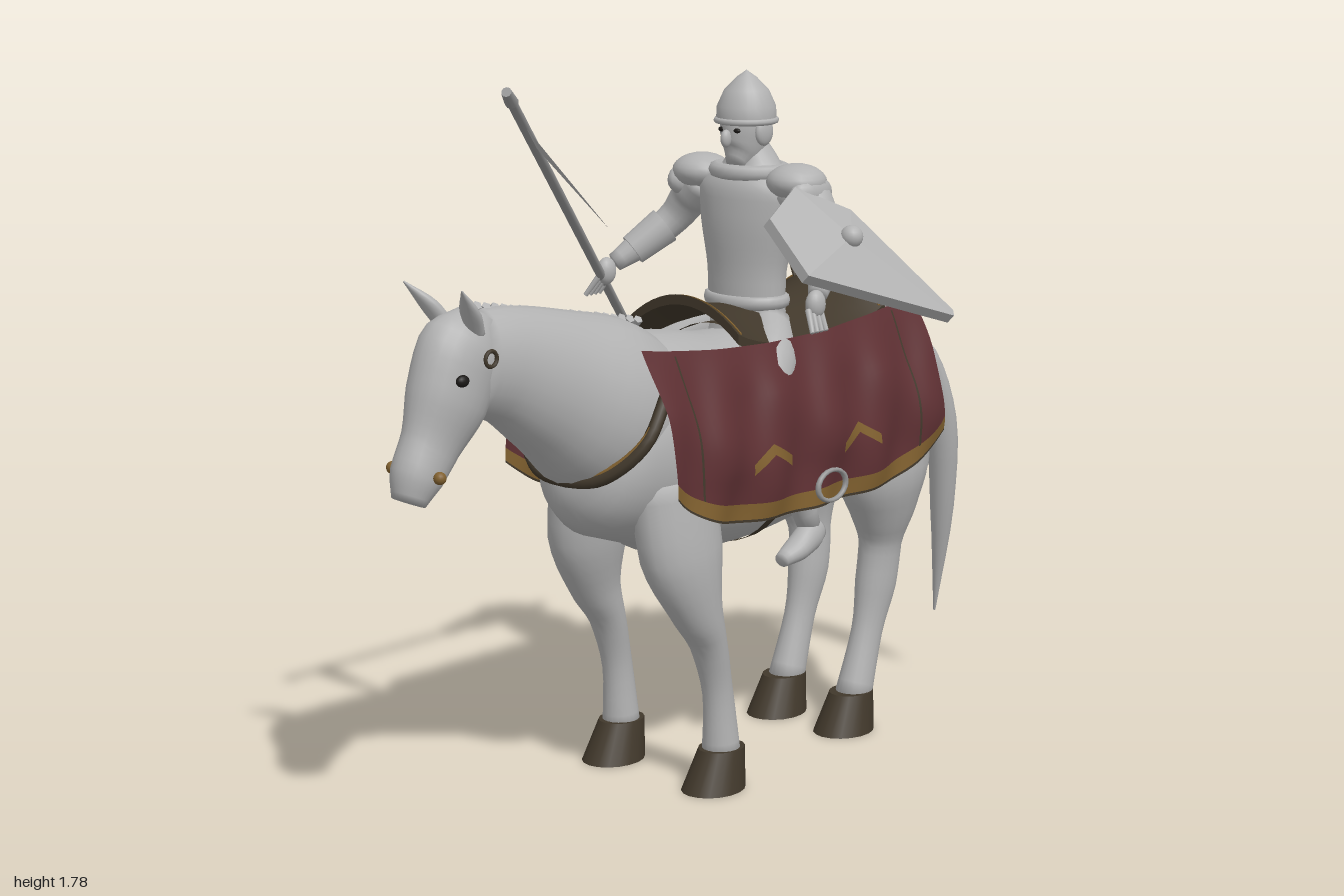
import * as THREE from 'three';

const mat = (name, color, side = THREE.FrontSide) => {
  const m = new THREE.MeshStandardMaterial({ color, side });
  m.name = name;
  return m;
};
const V = (x, y, z) => new THREE.Vector3(x, y, z);
const CX = 0.06; // horse centre line

// Smooth closed skin through sections [x, y, z, halfWidth, halfDepth]
function loft(sections, ref = V(1, 0, 0), seg = 20, sub = 4) {
  const path = new THREE.CatmullRomCurve3(sections.map(s => V(s[0], s[1], s[2])));
  const size = new THREE.CatmullRomCurve3(sections.map(s => V(s[3], s[4], 0)));
  const n = (sections.length - 1) * sub, pos = [], idx = [];
  for (let i = 0; i <= n; i++) {
    const p = path.getPoint(i / n), t = path.getTangent(i / n), r = size.getPoint(i / n);
    const s = ref.clone().addScaledVector(t, -ref.dot(t)).normalize();
    const q = t.clone().cross(s);
    for (let j = 0; j < seg; j++) {
      const a = j / seg * Math.PI * 2;
      const v = p.clone().addScaledVector(s, r.x * Math.cos(a)).addScaledVector(q, r.y * Math.sin(a));
      pos.push(v.x, v.y, v.z);
    }
  }
  for (let i = 0; i < n; i++) for (let j = 0; j < seg; j++) {
    const a = i * seg + j, b = i * seg + (j + 1) % seg;
    idx.push(a, b, a + seg, b, b + seg, a + seg);
  }
  const c = (n + 1) * seg;
  for (const s of [sections[0], sections[sections.length - 1]]) pos.push(s[0], s[1], s[2]);
  for (let j = 0; j < seg; j++) {
    const k = (j + 1) % seg;
    idx.push(c, k, j, c + 1, n * seg + j, n * seg + k);
  }
  const g = new THREE.BufferGeometry();
  g.setAttribute('position', new THREE.Float32BufferAttribute(pos, 3));
  g.setIndex(idx);
  g.computeVertexNormals();
  return g;
}

// Move every vertex by a rule
function warp(g, rule) {
  const p = g.attributes.position, v = V(0, 0, 0);
  for (let i = 0; i < p.count; i++) {
    rule(v.fromBufferAttribute(p, i));
    p.setXYZ(i, v.x, v.y, v.z);
  }
  g.computeVertexNormals();
  return g;
}

function rod(a, b, r0, r1 = r0, seg = 10) {
  const d = b.clone().sub(a), g = new THREE.CylinderGeometry(r1, r0, d.length(), seg);
  g.applyQuaternion(new THREE.Quaternion().setFromUnitVectors(V(0, 1, 0), d.clone().normalize()));
  return g.translate((a.x + b.x) / 2, (a.y + b.y) / 2, (a.z + b.z) / 2);
}
const ball = (x, y, z, a, b = a, c = a) =>
  new THREE.SphereGeometry(1, 18, 12).scale(a, b, c).translate(x, y, z);
const tube = (pts, r) => new THREE.TubeGeometry(new THREE.CatmullRomCurve3(pts), 32, r, 8);

export function createModel() {
  const root = new THREE.Group();
  const grey = mat('pale grey', 0xb2b2b2), greyThin = mat('pale grey sheet', 0xb2b2b2, THREE.DoubleSide);
  const steel = mat('steel grey', 0x969696);
  const cloth = mat('maroon cloth', 0x5e3033, THREE.DoubleSide), gold = mat('old gold', 0x80602f, THREE.DoubleSide);
  const dark = mat('dark leather', 0x41382b, THREE.DoubleSide), black = mat('eye black', 0x1c1a18);
  const add = (name, g, m, x = 0) => {
    const mesh = new THREE.Mesh(g, m);
    mesh.name = name;
    mesh.position.x = x;
    root.add(mesh);
    return mesh;
  };

  // Horse trunk, neck and head
  add('horseBody', loft([[0, .88, .43, .08, .07], [0, .86, .37, .17, .19], [0, .87, .2, .225, .27], [0, .84, 0, .24, .27],
    [0, .85, -.25, .245, .255], [0, .915, -.45, .24, .235], [0, .93, -.62, .225, .21], [0, .91, -.75, .17, .16],
    [0, .92, -.82, .06, .07]], undefined, 32), grey, CX);
  add('horseNeck', loft([[0, .88, .17, .19, .2], [0, .98, .34, .185, .215], [0, 1.065, .505, .135, .175],
    [0, 1.125, .645, .1, .14], [0, 1.15, .77, .08, .12]], undefined, 24), grey, CX);
  add('horseHead', loft([[0, 1.25, .73, .045, .05], [0, 1.17, .79, .085, .115], [0, 1.07, .835, .082, .108],
    [0, .98, .885, .06, .08], [0, .91, .93, .058, .066], [0, .855, .955, .04, .04]], undefined, 24), grey, CX);
  // Mane tufts lying on the right of the crest
  for (let i = 0; i < 20; i++) {
    const z = .2 + i * .028, y = 1.155 + (z - .2) * .2;
    add('maneTuft', rod(V(0, y + .015, z), V(-.055 - .02 * (i % 3), y - .05, z - .012), .012, .002, 5), grey, CX);
  }
  // Tail blade
  add('tail', loft([[0, 1.02, -.8, .03, .02], [.035, .93, -.86, .05, .03], [.06, .75, -.915, .045, .04],
    [.04, .5, -.955, .032, .032], [-.01, .19, -.995, .003, .003]]), grey, CX);

  for (const s of [-1, 1]) {
    // Legs and hooves
    add('foreLeg', loft([[s * .13, .8, .22, .08, .13], [s * .155, .62, .215, .08, .12], [s * .17, .48, .18, .062, .072],
      [s * .17, .38, .135, .05, .044], [s * .17, .25, .1, .037, .04], [s * .17, .08, .085, .048, .05]]), grey, CX);
    add('hindLeg', loft([[s * .13, .9, -.6, .08, .16], [s * .135, .7, -.575, .1, .15], [s * .13, .58, -.585, .078, .1],
      [s * .12, .485, -.59, .052, .062], [s * .115, .38, -.58, .05, .06], [s * .115, .25, -.545, .038, .045],
      [s * .115, .08, -.49, .048, .05]]), grey, CX);
    for (const [x, z] of [[.17, .1], [.115, -.47]]) {
      const hoof = new THREE.CylinderGeometry(.053, .073, .1, 18, 1).toNonIndexed();
      add('hoof', hoof.scale(1, 1, 1.2).applyMatrix4(new THREE.Matrix4().set(
        1, 0, 0, s * x, 0, 1, 0, .055, 0, -.3, 1, z, 0, 0, 0, 1)), dark, CX);
    }
    // Ears, eyes, bridle pieces
    add('ear', loft([[s * .045, 1.22, .78, .022, .02], [s * .065, 1.275, .815, .028, .018], [s * .095, 1.338, .87, .002, .002]],
      undefined, 12), grey, CX);
    add('eye', ball(s * .077, 1.13, .855, .012, .014, .018), black, CX);
    add('bridleLoop', new THREE.TorusGeometry(.018, .005, 6, 16).rotateY(Math.PI / 2).translate(s * .087, 1.17, .775), dark, CX);
    add('bitKnob', ball(s * .078, .92, .93, .015), gold, CX);

    // Hanging cloth: x offset from height, with folds
    const surf = (z, y) => {
      const t = (1.14 - y) / .45;
      return .17 + .115 * Math.sin(Math.min(1, t * 1.4) * Math.PI / 2) - .02 * Math.max(0, t - .7)
        + Math.min(1, t * 3) * (.008 * Math.sin(z * 32 + y * 9) + .005 * Math.sin(z * 17 - y * 23));
    };
    const q = z => (z + .135) / .505;
    const top = z => 1.1 + .04 * q(z) ** 2, low = z => .69 + .11 * q(z) ** 4;
    const patch = (name, m, zOf, yOf, lift, nu, nv) =>
      add(name, warp(new THREE.PlaneGeometry(1, 1, nu, nv), p => {
        const u = p.x + .5, v = p.y + .5, z = zOf(u), y = yOf(z, v, u);
        p.set(s * (surf(z, y) + lift), y, z);
      }), m, CX);
    const full = u => .37 - 1.01 * u;
    const drop = (a, b) => (z, v) => THREE.MathUtils.lerp(low(z), top(z), a + (b - a) * v);
    patch('sideCloth', cloth, full, drop(.11, 1), 0, 56, 20);
    patch('clothBorder', gold, full, drop(.015, .11), 0, 56, 2);
    patch('clothHem', dark, full, drop(0, .015), 0, 56, 1);
    for (const z0 of [.27, -.54]) patch('clothSeam', dark, u => z0 + .006 * u, drop(.11, .97), .004, 1, 20);
    for (const z0 of [.03, -.3])
      patch('chevron', gold, u => z0 + (u - .5) * .14, (z, v, u) => .812 + .04 * (1 - Math.abs(2 * u - 1)) + v * .026, .006, 12, 2);
    add('clothRing', new THREE.TorusGeometry(.048, .007, 8, 20).scale(1.1, .8, 1).rotateY(Math.PI / 2)
      .translate(s * (surf(-.18, .74) + .012), .74, -.18), steel, CX);

    // Saddle cords
    add('saddleCord', tube([V(s * .1, 1.17, -.5), V(s * .13, 1.22, -.5), V(s * .17, 1.21, -.49), V(s * .2, 1.17, -.47)], .005), dark, CX);

    // Rider leg and foot
    add('riderLeg', loft([[s * .07, 1.1, -.2, .06, .07], [s * .17, 1.04, -.1, .055, .065], [s * .205, .93, -.03, .045, .05],
      [s * .21, .78, -.12, .04, .045], [s * .205, .62, -.2, .028, .03]]), grey, CX);
    add('riderFoot', loft([[s * .205, .6, -.24, .02, .025], [s * .21, .595, -.2, .032, .04], [s * .215, .57, -.14, .034, .03],
      [s * .22, .555, -.08, .02, .018]]), grey, CX);

    // Rider shoulder guard, arm, gauntlet and hand
    add('shoulderGuard', ball(s * .155, 1.475, -.2, .075, .045, .075).translate(0, 0, 0), grey, CX);
    add('shoulderRim', ball(s * .2, 1.45, -.2, .035, .045, .07), grey, CX);
    add('arm', loft([[s * .14, 1.46, -.2, .05, .05], [s * .21, 1.4, -.215, .05, .05], [s * .25, 1.345, -.2, .042, .042],
      [s * .3, 1.28, -.13, .036, .036], [s * .335, 1.235, -.07, .024, .024]], V(0, 0, 1), 16), grey, CX);
    add('gauntletCuff', rod(V(s * .265, 1.325, -.18), V(s * .31, 1.265, -.11), .048, .04, 16), grey, CX);
    add('hand', ball(s * .345, 1.215, -.05, .022, .035, .028), grey, CX);
    for (let k = 0; k < 4; k++)
      add('finger', rod(V(s * .345, 1.205, -.065 + k * .014), V(s * .375, 1.155, -.055 + k * .017), .008, .006, 6), grey, CX);
  }

  // Saddle with raised ends and gold stitching
  const saddleRule = p => {
    p.y += 1.15 + .045 * Math.min(1, Math.abs(p.z / .28)) ** 3 - .075 * (p.x / .18) ** 2;
    p.z -= .24;
  };
  add('saddle', warp(new THREE.BoxGeometry(.36, .025, .56, 14, 1, 16), saddleRule), dark, CX);
  for (const z of [-.265, .265])
    add('saddleStitch', warp(new THREE.BoxGeometry(.35, .004, .008, 14, 1, 1).translate(0, .014, z), saddleRule), gold, CX);
  add('girthStrap', new THREE.CylinderGeometry(1, 1, .035, 40, 1, true).rotateX(Math.PI / 2).scale(.248, .277, 1)
    .translate(0, .845, -.09), dark, CX);
  // Breast collar
  const collar = (dy, r, m, name) => add(name, tube([[-.2, 1.04, .31], [-.195, .92, .385], [-.11, .835, .445], [0, .82, .465],
    [.11, .835, .445], [.195, .92, .385], [.2, 1.04, .31]].map(p => V(p[0], p[1] + dy, p[2])), r), m, CX);
  collar(0, .016, dark, 'breastCollar');
  collar(.014, .008, gold, 'breastCollarTrim');

  // Rider trunk, head and helmet
  add('riderTorso', loft([[0, 1.07, -.2, .125, .1], [0, 1.15, -.195, .108, .078], [0, 1.24, -.195, .11, .08],
    [0, 1.36, -.2, .135, .092], [0, 1.44, -.205, .145, .092], [0, 1.5, -.21, .085, .065], [0, 1.56, -.2, .042, .045]],
    undefined, 24), grey, CX);
  add('belt', new THREE.TorusGeometry(.108, .012, 8, 28).rotateX(Math.PI / 2).scale(1, 1.4, .75).translate(0, 1.17, -.195), grey, CX);
  add('neckGuard', new THREE.TorusGeometry(.08, .02, 8, 24).rotateX(Math.PI / 2).scale(1.1, 1, .95).translate(0, 1.49, -.205), grey, CX);
  add('riderHead', loft([[0, 1.505, -.15, .025, .025], [0, 1.54, -.175, .048, .058], [0, 1.6, -.19, .06, .07],
    [0, 1.66, -.19, .055, .065]]), grey, CX);
  add('nose', ball(0, 1.575, -.115, .012, .022, .016), grey, CX);
  for (const s of [-1, 1]) {
    add('riderEye', ball(s * .025, 1.595, -.127, .01, .006, .006), black, CX);
    add('cheekGuard', ball(s * .058, 1.59, -.19, .014, .035, .03), grey, CX);
  }
  const profile = [[.07, 1.61], [.075, 1.615], [.073, 1.65], [.055, 1.69], [.025, 1.72], [.008, 1.732], [0, 1.738]];
  add('helmet', new THREE.LatheGeometry(profile.map(p => new THREE.Vector2(...p)), 24).translate(0, 0, -.19), greyThin, CX);
  add('helmetRim', new THREE.TorusGeometry(.073, .008, 8, 24).rotateX(Math.PI / 2).translate(0, 1.615, -.19), grey, CX);

  // Lance with pennant
  const a = V(-.58, .84, -.53), b = V(.17, 1.77, .74), at = t => a.clone().lerp(b, t);
  add('lanceShaft', rod(a, b, .012), steel);
  add('lanceButt', rod(a, at(.03), .015), steel);
  add('lanceTip', rod(at(.97), b, .016, .012), steel);
  const flag = new THREE.BufferGeometry().setFromPoints([at(.905), at(.84), V(.32, 1.46, .57)]);
  flag.setIndex([0, 1, 2]);
  flag.computeVertexNormals();
  add('pennant', flag, greyThin);

  // Kite shield: raised facets meeting at the boss, with a rim and a back plate
  const rim = [[.27, 1.475, -.13], [.32, 1.42, .02], [.45, 1.3, .03], [.575, 1.165, -.37], [.56, 1.175, -.385],
    [.33, 1.41, -.27]].map(p => V(...p));
  const back = rim.map(p => p.clone().add(V(-.02, -.02, 0)));
  const peak = V(.415, 1.365, -.17), hollow = V(.39, 1.335, -.17), tri = [];
  rim.forEach((p, i) => {
    const k = (i + 1) % rim.length;
    tri.push(peak, rim[k], p, hollow, back[i], back[k], p, rim[k], back[k], p, back[k], back[i]);
  });
  const shield = new THREE.BufferGeometry().setFromPoints(tri);
  shield.computeVertexNormals();
  add('shield', shield, greyThin);
  add('shieldBoss', ball(.415, 1.365, -.17, .028), grey);
  add('shieldStrap', rod(V(.36, 1.32, -.2), V(.42, 1.26, -.1), .012), dark);

  return root;
}
